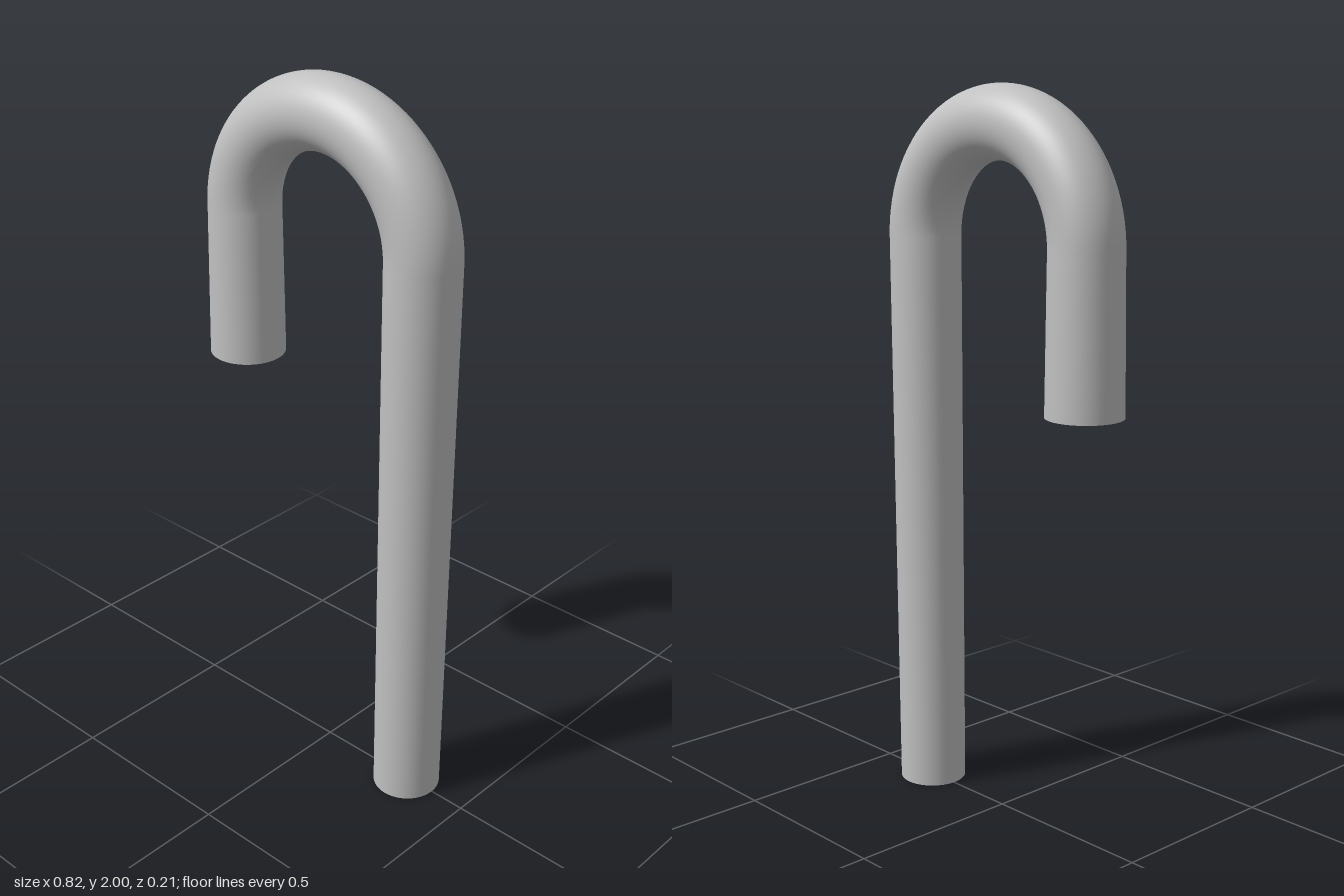
import * as THREE from 'three';

const SIDES = 48;

// Sweeps a circle through cross-sections { x, y, z, r, a }; a is the outward angle of the section
function sweep(sections) {
  const pos = [], index = [];
  sections.forEach(({ x, y, z, r, a }, i) => {
    for (let j = 0; j <= SIDES; j++) {
      const t = (j % SIDES) / SIDES * Math.PI * 2;
      const out = Math.cos(t) * r;
      pos.push(x + Math.cos(a) * out, y + Math.sin(a) * out, z + Math.sin(t) * r);
    }
    if (!i) return;
    for (let j = 0; j < SIDES; j++) {
      const b = i * (SIDES + 1) + j, c = b - SIDES - 1;
      index.push(c, b, c + 1, b, b + 1, c + 1);
    }
  });
  const geo = new THREE.BufferGeometry();
  geo.setAttribute('position', new THREE.Float32BufferAttribute(pos, 3));
  geo.setIndex(index);
  geo.computeVertexNormals();
  // Join the normals across the seam
  const n = geo.attributes.normal;
  for (let i = 0; i < sections.length; i++) {
    const s = i * (SIDES + 1), e = s + SIDES;
    const v = new THREE.Vector3().fromBufferAttribute(n, s)
      .add(new THREE.Vector3().fromBufferAttribute(n, e)).normalize();
    n.setXYZ(s, v.x, v.y, v.z);
    n.setXYZ(e, v.x, v.y, v.z);
  }
  return geo;
}

export function createModel() {
  const group = new THREE.Group();
  group.name = 'hookedCane';
  const grey = new THREE.MeshStandardMaterial({ color: 0xc0c0c0, side: THREE.DoubleSide });
  grey.name = 'grey';

  const sections = [];
  const bendY = 1.592, bendR = 0.309, tubeR = 0.099;

  // Long shaft, slightly tapered towards the foot
  for (let i = 0; i < 8; i++) {
    const t = i / 8;
    sections.push({
      x: THREE.MathUtils.lerp(0.3, bendR, t), y: bendY * t,
      z: 0.002 * (1 - t), r: THREE.MathUtils.lerp(0.094, tubeR, t), a: 0,
    });
  }
  // Half-circle crook
  for (let i = 0; i <= 48; i++) {
    const a = i / 48 * Math.PI;
    sections.push({ x: Math.cos(a) * bendR, y: bendY + Math.sin(a) * bendR, z: 0, r: tubeR, a });
  }
  // Short end, flaring a little
  for (let i = 1; i <= 4; i++) {
    const t = i / 4;
    sections.push({
      x: -bendR, y: THREE.MathUtils.lerp(bendY, 1.165, t),
      z: 0, r: THREE.MathUtils.lerp(tubeR, 0.104, t), a: Math.PI,
    });
  }

  // One continuous tube, open at both ends
  const cane = new THREE.Mesh(sweep(sections), grey);
  cane.name = 'caneTube';
  group.add(cane);
  return group;
}
